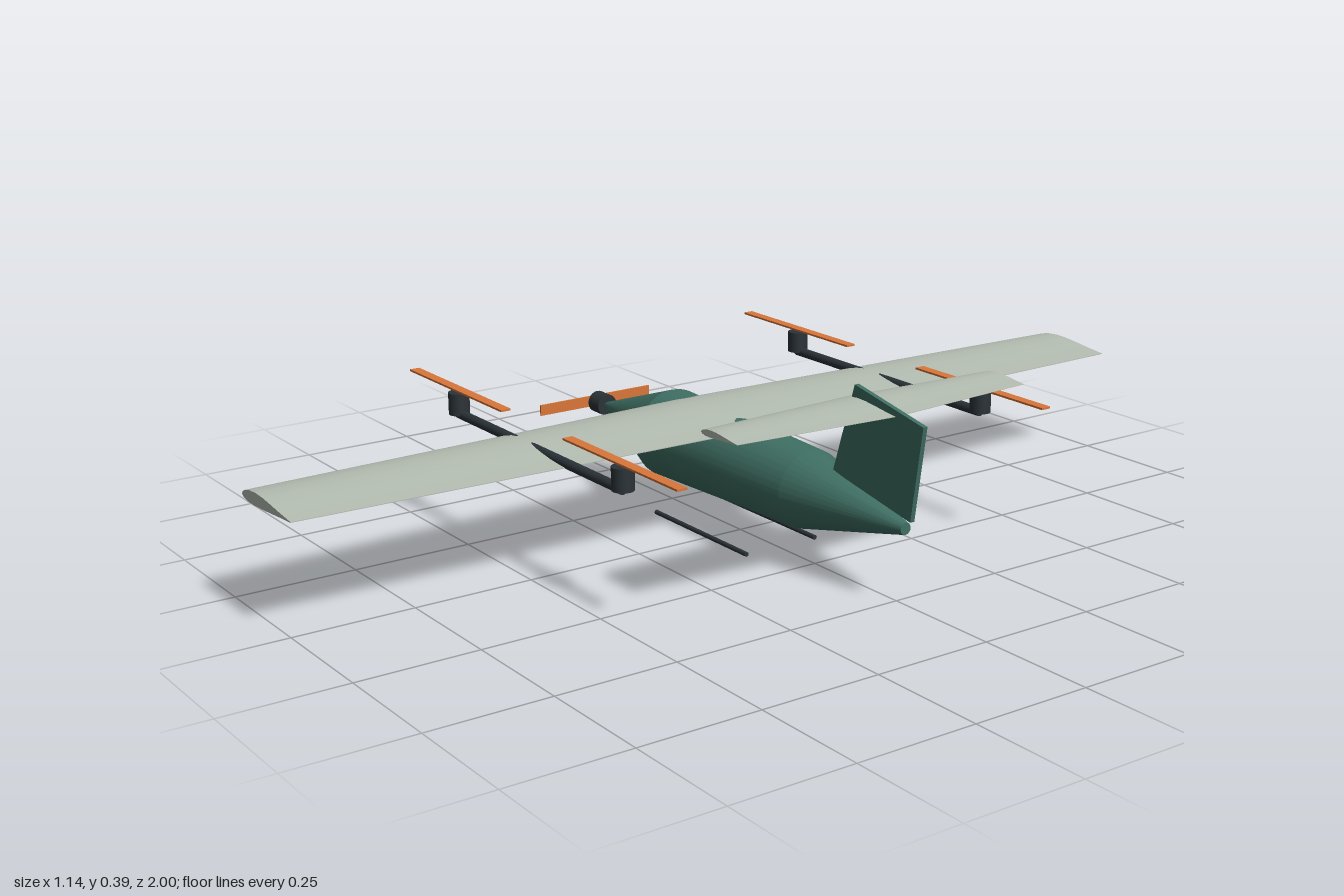
import * as THREE from 'three';
import { toCreasedNormals } from 'three/addons/utils/BufferGeometryUtils.js';

const paint = (color) => new THREE.MeshStandardMaterial({ color });

export function createModel() {
  const model = new THREE.Group();
  const green = paint(0x3f6f63);
  const pale = paint(0xb4bdb2);
  const dark = paint(0x2b3338);
  const orange = paint(0xd9763a);

  const add = (name, geometry, material, x = 0, y = 0, z = 0) => {
    const mesh = new THREE.Mesh(geometry, material);
    mesh.name = name;
    mesh.position.set(x, y, z);
    model.add(mesh);
    return mesh;
  };

  // Round bar lying along x, from x0 to x1
  const bar = (name, radius, x0, x1, y, z, material, sides = 16) => {
    const g = new THREE.CylinderGeometry(radius, radius, x1 - x0, sides);
    g.rotateZ(Math.PI / 2);
    return add(name, g, material, (x0 + x1) / 2, y, z);
  };

  // Airfoil section as [chord fraction, height / chord], leading edge first
  const section = [
    [0, 0], [0.02, 0.025], [0.07, 0.05], [0.16, 0.072], [0.3, 0.083], [0.45, 0.077],
    [0.62, 0.058], [0.8, 0.036], [1, 0.016], [1, 0.01], [0.8, -0.004], [0.6, -0.02],
    [0.4, -0.036], [0.25, -0.043], [0.12, -0.042], [0.04, -0.026],
  ];

  // Straight-tapered surface, widest at z = 0
  const taperedWing = (name, rootLE, rootTE, tipLE, tipTE, y, halfSpan) => {
    const shape = new THREE.Shape(section.map(([u, v]) => new THREE.Vector2(u, v)).reverse());
    const g = new THREE.ExtrudeGeometry(shape, { depth: 2 * halfSpan, steps: 2, bevelEnabled: false });
    g.translate(0, 0, -halfSpan);
    const p = g.attributes.position;
    for (let i = 0; i < p.count; i++) {
      const t = Math.abs(p.getZ(i)) / halfSpan;
      const le = THREE.MathUtils.lerp(rootLE, tipLE, t);
      const chord = THREE.MathUtils.lerp(rootTE, tipTE, t) - le;
      p.setXY(i, le + p.getX(i) * chord, p.getY(i) * chord);
    }
    return add(name, toCreasedNormals(g, 0.6), pale, 0, y, 0);
  };

  // Fuselage: long spindle with its nose towards -x
  const profile = [[0, -0.506], [0.007, -0.506], [0.095, -0.245], [0.08, 0.235], [0.012, 0.522], [0, 0.522]]
    .map(([r, x]) => new THREE.Vector2(r, x));
  const body = new THREE.LatheGeometry(profile, 40);
  body.rotateZ(-Math.PI / 2);
  add('fuselage', toCreasedNormals(body, 0.25), green, 0, 0.15, 0);

  taperedWing('mainWing', -0.212, 0.058, -0.18, 0.032, 0.226, 1);
  taperedWing('tailplane', 0.335, 0.492, 0.352, 0.463, 0.358, 0.343);

  // Swept tail fin
  const finShape = new THREE.Shape([
    [0.31, 0.21], [0.54, 0.168], [0.57, 0.358], [0.372, 0.395],
  ].map(([x, y]) => new THREE.Vector2(x, y)));
  const fin = new THREE.ExtrudeGeometry(finShape, { depth: 0.01, bevelEnabled: false });
  add('tailFin', fin, green, 0, 0, -0.005);

  for (const side of [-1, 1]) {
    // Lift boom with a motor and rotor at each end
    const z = side * 0.438;
    bar('liftBoom', 0.01, -0.38, 0.238, 0.235, z, dark);
    for (const x of [-0.38, 0.238]) {
      add('liftMotor', new THREE.CylinderGeometry(0.022, 0.022, 0.046, 20), dark, x, 0.258, z);
      add('liftRotor', new THREE.BoxGeometry(0.385, 0.004, 0.022), orange, x, 0.287, z);
    }
    // Landing skid
    bar('skid', 0.005, -0.183, 0.14, 0.005, side * 0.086, dark, 10);
  }

  // Nose motor and propeller
  bar('noseMotor', 0.024, -0.546, -0.505, 0.15, 0, dark, 20);
  add('nosePropeller', new THREE.BoxGeometry(0.004, 0.024, 0.286), orange, -0.555, 0.15, 0);

  return model;
}
